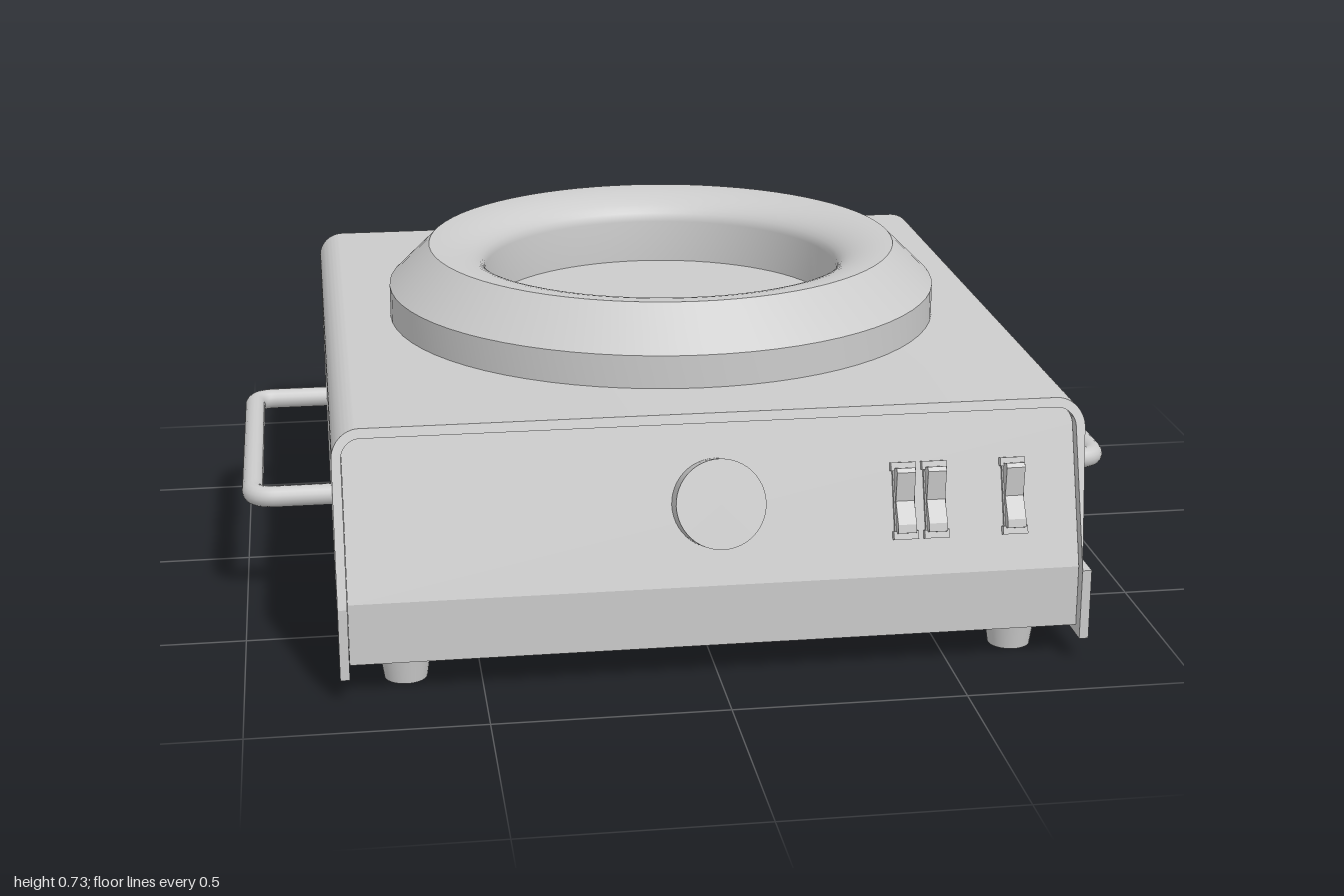
import * as THREE from 'three';
import { mergeGeometries, toCreasedNormals } from 'three/addons/utils/BufferGeometryUtils.js';

const material = new THREE.MeshStandardMaterial({ color: 0xcccccc });
const BACK = -0.873, FRONT = 0.861, BEND = 0.21, TOP = 0.563, SHEET = 0.02;
const SLOPE = 0.118 / (TOP - BEND);
const TILT = Math.atan(SLOPE);

function add(parent, name, geometry, x = 0, y = 0, z = 0) {
  const mesh = new THREE.Mesh(geometry, material);
  mesh.name = name;
  mesh.position.set(x, y, z);
  parent.add(mesh);
  return mesh;
}

// Section above the bend, extruded back to front with its front end leaning back
function upperPart(shape, back, front) {
  const g = new THREE.ExtrudeGeometry(shape, { depth: 1, bevelEnabled: false, curveSegments: 10 });
  const p = g.attributes.position;
  for (let i = 0; i < p.count; i++) {
    const lean = SLOPE * (p.getY(i) - BEND);
    p.setZ(i, p.getZ(i) > 0.5 ? front - lean : back);
  }
  return g;
}

// Upright block below the bend
function lowerPart(x, width, bottom, back, front) {
  return new THREE.BoxGeometry(width, BEND - bottom, front - back).toNonIndexed()
    .translate(x, (BEND + bottom) / 2, (front + back) / 2);
}

const joined = parts => toCreasedNormals(mergeGeometries(parts), 0.5);

// Bent sheet cover: open below, at the front and at the back
function coverGeometry() {
  const s = new THREE.Shape();
  const w = 0.8, r = 0.06, ri = r - SHEET;
  s.moveTo(w, BEND);
  s.absarc(w - r, TOP - r, r, 0, Math.PI / 2, false);
  s.absarc(-w + r, TOP - r, r, Math.PI / 2, Math.PI, false);
  s.lineTo(-w, BEND);
  s.lineTo(-w + SHEET, BEND);
  s.absarc(-w + r, TOP - r, ri, Math.PI, Math.PI / 2, true);
  s.absarc(w - r, TOP - r, ri, Math.PI / 2, 0, true);
  s.lineTo(w - SHEET, BEND);
  const skirts = [-1, 1].map(side => lowerPart(side * (w - SHEET / 2), SHEET, 0.053, BACK, FRONT));
  return joined([upperPart(s, BACK, FRONT), ...skirts]);
}

// Inner case, rounded to fit under the cover
function caseGeometry(back, front) {
  const s = new THREE.Shape();
  const w = 0.779, r = 0.04, top = TOP - SHEET - 0.001;
  s.moveTo(-w, BEND);
  s.lineTo(w, BEND);
  s.absarc(w - r, top - r, r, 0, Math.PI / 2, false);
  s.absarc(-w + r, top - r, r, Math.PI / 2, Math.PI, false);
  return joined([upperPart(s, back, front), lowerPart(0, 2 * w, 0.075, back, front)]);
}

// Ring with a conical outside and a rounded inner lip
function ringGeometry() {
  const pts = [[0.643, TOP - 0.005], [0.643, 0.637], [0.548, 0.73]].map(p => new THREE.Vector2(...p));
  for (let i = 1; i <= 10; i++) {
    const a = (i / 10) * Math.PI / 2;
    pts.push(new THREE.Vector2(0.548 - 0.131 * Math.sin(a), 0.665 + 0.065 * Math.cos(a)));
  }
  pts.push(new THREE.Vector2(0.417, TOP - 0.005));
  return toCreasedNormals(new THREE.LatheGeometry(pts, 72), 0.5);
}

// Bent rod handle on the +x side
function handleGeometry() {
  const x0 = 0.78, x1 = 0.976, za = -0.402, zb = 0.31, r = 0.05;
  const v = (x, z) => new THREE.Vector3(x, 0, z);
  const path = new THREE.CurvePath();
  path.add(new THREE.LineCurve3(v(x0, za), v(x1 - r, za)));
  path.add(new THREE.QuadraticBezierCurve3(v(x1 - r, za), v(x1, za), v(x1, za + r)));
  path.add(new THREE.LineCurve3(v(x1, za + r), v(x1, zb - r)));
  path.add(new THREE.QuadraticBezierCurve3(v(x1, zb - r), v(x1, zb), v(x1 - r, zb)));
  path.add(new THREE.LineCurve3(v(x1 - r, zb), v(x0, zb)));
  return new THREE.TubeGeometry(path, 120, 0.024, 16, false);
}

// Rocker profile: first value is the height out of the panel, second runs up the panel
function rockerGeometry(width) {
  const pts = [[0, -0.07], [0.028, -0.068], [0.03, -0.05], [0.016, 0], [0.042, 0.06], [0.038, 0.07], [0, 0.07]];
  const s = new THREE.Shape(pts.map(p => new THREE.Vector2(...p)));
  const g = new THREE.ExtrudeGeometry(s, { depth: width, bevelEnabled: false });
  return g.translate(0, 0, -width / 2).rotateY(-Math.PI / 2);
}

export function createModel() {
  const model = new THREE.Group();
  model.name = 'hotPlate';

  // Housing: the case sits a little inside the cover edges
  const caseFront = 0.835;
  add(model, 'cover', coverGeometry());
  add(model, 'innerCase', caseGeometry(BACK + 0.02, caseFront));

  add(model, 'heatingRing', ringGeometry(), 0, 0, -0.071);

  // Controls: local z points out of the sloping panel
  const panel = new THREE.Group();
  panel.name = 'controlPanel';
  const panelY = 0.365;
  panel.position.set(0, panelY, caseFront - SLOPE * (panelY - BEND));
  panel.rotation.x = -TILT;
  model.add(panel);

  add(panel, 'knob', new THREE.CylinderGeometry(0.095, 0.095, 0.08, 48).rotateX(Math.PI / 2), 0, 0.01, 0.03);
  for (const x of [0.402, 0.469, 0.64]) {
    const rocker = new THREE.Group();
    rocker.name = 'rockerSwitch';
    rocker.position.set(x, -0.004, 0);
    panel.add(rocker);
    add(rocker, 'switchBase', new THREE.BoxGeometry(0.046, 0.16, 0.016));
    for (const y of [-0.073, 0.073]) add(rocker, 'switchTab', new THREE.BoxGeometry(0.054, 0.018, 0.03), 0, y);
    add(rocker, 'switchRocker', rockerGeometry(0.04));
  }

  // Side handles, mirrored
  for (const side of [1, -1]) {
    const handle = add(model, side > 0 ? 'leftHandle' : 'rightHandle', handleGeometry(), 0, 0.265, 0);
    handle.scale.x = side;
  }

  // Tapered feet
  for (const x of [-0.66, 0.66])
    for (const z of [-0.74, 0.73])
      add(model, 'foot', new THREE.CylinderGeometry(0.058, 0.046, 0.08, 32), x, 0.04, z);

  return model;
}
